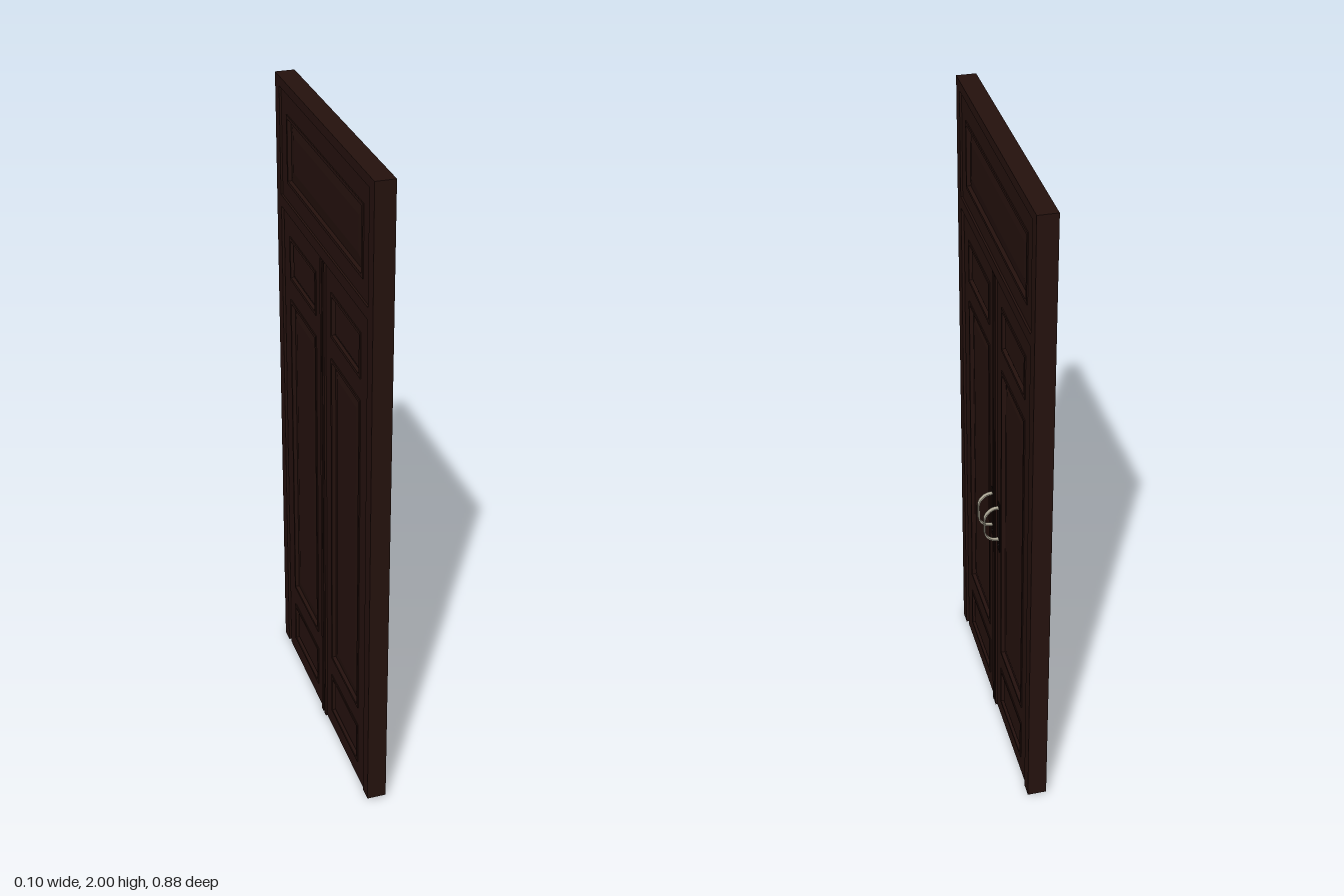
import * as THREE from 'three';

const wood = new THREE.MeshStandardMaterial({ color: 0x24110d });
const dark = new THREE.MeshStandardMaterial({ color: 0x120907 });
const metal = new THREE.MeshStandardMaterial({ color: 0xb0aa98 });

// Rectangles are [left, right, bottom, top] in the plane of the door.
const corners = ([l, r, b, t]) => [[l, b], [r, b], [r, t], [l, t]].map(p => new THREE.Vector2(...p));
const inset = ([l, r, b, t], d) => [l + d, r - d, b + d, t - d];

function add(parent, name, geometry, material = wood) {
  const mesh = new THREE.Mesh(geometry, material);
  mesh.name = name;
  parent.add(mesh);
  return mesh;
}

// Flat board with openings, spanning depth d0 to d1
function board(parent, name, outline, holes, d0, d1, material = wood) {
  const shape = new THREE.Shape(outline);
  shape.holes = holes.map(h => new THREE.Path(corners(h).reverse()));
  const geometry = new THREE.ExtrudeGeometry(shape, { depth: d1 - d0, bevelEnabled: false });
  return add(parent, name, geometry.translate(0, 0, d0), material);
}

// Panel filling an opening: sloped margins, raised field, moulding on both faces
function raisedPanel(parent, name, rect, margin, d0, d1) {
  const rise = 0.007, core = d1 - d0 - 0.006 - 2 * rise;
  const geometry = new THREE.ExtrudeGeometry(new THREE.Shape(corners(inset(rect, margin))), {
    depth: core, bevelEnabled: true, bevelSegments: 1, bevelSize: margin, bevelThickness: rise,
  });
  add(parent, name, geometry.translate(0, 0, (d0 + d1 - core) / 2));
  board(parent, name + 'Moulding', corners(inset(rect, -0.004)), [inset(rect, 0.006)], d0 - 0.003, d1 + 0.003);
}

// One door leaf; side is -1 or 1 across the door
function doorLeaf(side) {
  const leaf = new THREE.Group();
  leaf.name = side < 0 ? 'leftLeaf' : 'rightLeaf';
  const span = (a, b, y0, y1) => (side > 0 ? [a, b, y0, y1] : [-b, -a, y0, y1]);
  const d0 = -0.044, d1 = 0.001;
  const upper = span(0.075, 0.325, 1.4, 1.53);
  const middle = span(0.075, 0.325, 0.275, 1.325);
  const lower = span(0.075, 0.325, 0.065, 0.2);
  board(leaf, 'leafFrame', corners(span(0.004, 0.391, 0, 1.6)), [upper, middle, lower], d0, d1);
  raisedPanel(leaf, 'upperPanel', upper, 0.018, d0, d1);
  raisedPanel(leaf, 'middlePanel', middle, 0.042, d0, d1);
  raisedPanel(leaf, 'lowerPanel', lower, 0.018, d0, d1);
  board(leaf, 'meetingStrip', corners(span(0.004, 0.02, 0, 1.6)), [], -0.05, 0.007);

  // Bowed strap handle on a dark backplate with a keyhole
  const u = side * 0.038;
  board(leaf, 'backplate', corners([u - 0.012, u + 0.012, 0.66, 0.84]), [], d1, d1 + 0.002, dark);
  const strap = new THREE.Shape();
  strap.moveTo(0, 0.823);
  strap.lineTo(0.012, 0.823);
  strap.bezierCurveTo(0.032, 0.821, 0.048, 0.8, 0.048, 0.785);
  strap.lineTo(0.048, 0.74);
  strap.bezierCurveTo(0.048, 0.722, 0.032, 0.703, 0.012, 0.701);
  strap.lineTo(0, 0.701);
  strap.lineTo(0, 0.705);
  strap.lineTo(0.012, 0.705);
  strap.bezierCurveTo(0.03, 0.707, 0.044, 0.724, 0.044, 0.74);
  strap.lineTo(0.044, 0.785);
  strap.bezierCurveTo(0.044, 0.798, 0.03, 0.817, 0.012, 0.819);
  strap.lineTo(0, 0.819);
  const handle = new THREE.ExtrudeGeometry(strap, { depth: 0.013, bevelEnabled: false, curveSegments: 10 });
  handle.translate(0, 0, -0.0065).rotateY(-Math.PI / 2).translate(u, 0, 0);
  add(leaf, 'handle', handle, metal);
  const keyhole = new THREE.CylinderGeometry(0.004, 0.004, 0.003, 12).rotateX(Math.PI / 2);
  add(leaf, 'keyhole', keyhole.translate(u, 0.68, d1 + 0.003), dark);
  return leaf;
}

export function createModel() {
  const model = new THREE.Group();
  model.name = 'doubleDoor';
  const door = new THREE.Group();
  door.name = 'door';

  // Surround: two jambs and a head, with an opening above for the transom
  const outline = [
    [-0.44, 0.008], [-0.397, 0.008], [-0.397, 1.604], [0.397, 1.604],
    [0.397, 0.008], [0.44, 0.008], [0.44, 2], [-0.44, 2],
  ].map(p => new THREE.Vector2(...p));
  const recess = [-0.4, 0.4, 1.64, 1.97];
  board(door, 'surround', outline, [recess], -0.05, 0.008);

  // Transom above the leaves
  const transom = [-0.34, 0.34, 1.7, 1.9];
  board(door, 'transomBoard', corners(recess), [transom], -0.044, 0.002);
  raisedPanel(door, 'transomPanel', transom, 0.046, -0.044, 0.002);

  for (const side of [-1, 1]) door.add(doorLeaf(side));

  // Turn the door so that its handles face +x
  door.rotation.y = Math.PI / 2;
  model.add(door);
  return model;
}
